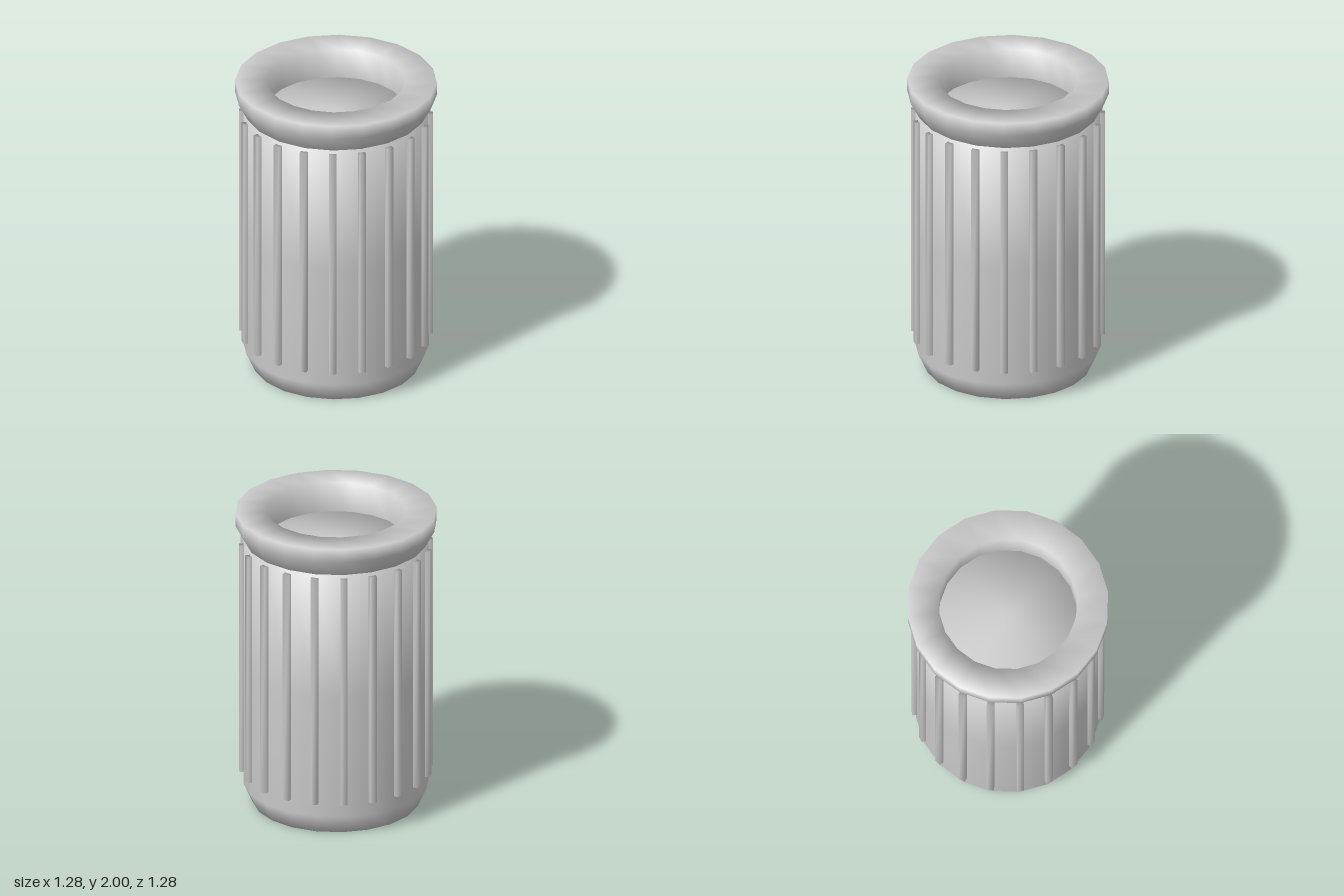
import * as THREE from 'three';
import { mergeVertices } from 'three/addons/utils/BufferGeometryUtils.js';

const SIDES = 20;
const metal = new THREE.MeshStandardMaterial({ color: 0xcccccc });
metal.name = 'light grey';

// Smooth turned part from [radius, height] points, outside upwards
function turned(name, points) {
  const profile = points.map(([r, y]) => new THREE.Vector2(r, y));
  const mesh = new THREE.Mesh(new THREE.LatheGeometry(profile, SIDES), metal);
  mesh.name = name;
  return mesh;
}

// Box with shared corners, so its shading is soft
function softBox(w, h, d) {
  const box = new THREE.BoxGeometry(w, h, d);
  box.deleteAttribute('normal');
  box.deleteAttribute('uv');
  const geometry = mergeVertices(box);
  geometry.computeVertexNormals();
  return geometry;
}

export function createModel() {
  const bin = new THREE.Group();
  bin.name = 'bin';

  // Closed body with a bevelled foot and a lid plate inside the rim
  bin.add(turned('body', [
    [0, 0], [0.3, 0], [0.53, 0], [0.59, 0.13], [0.59, 0.95], [0.59, 1.8], [0, 1.8],
  ]));

  // Flared ring around the opening
  bin.add(turned('rim', [
    [0.44, 1.78], [0.57, 1.78], [0.64, 1.91], [0.64, 2], [0.44, 2], [0.44, 1.78],
  ]));

  // Upright ribs on the corners of the body
  const ribs = new THREE.Group();
  ribs.name = 'ribs';
  const ribGeometry = softBox(0.045, 1.56, 0.05);
  for (let i = 0; i < SIDES; i++) {
    const angle = (i / SIDES) * Math.PI * 2;
    const rib = new THREE.Mesh(ribGeometry, metal);
    rib.name = 'rib';
    rib.position.set(Math.sin(angle) * 0.591, 1, Math.cos(angle) * 0.591);
    rib.rotation.y = angle;
    ribs.add(rib);
  }
  bin.add(ribs);

  return bin;
}
